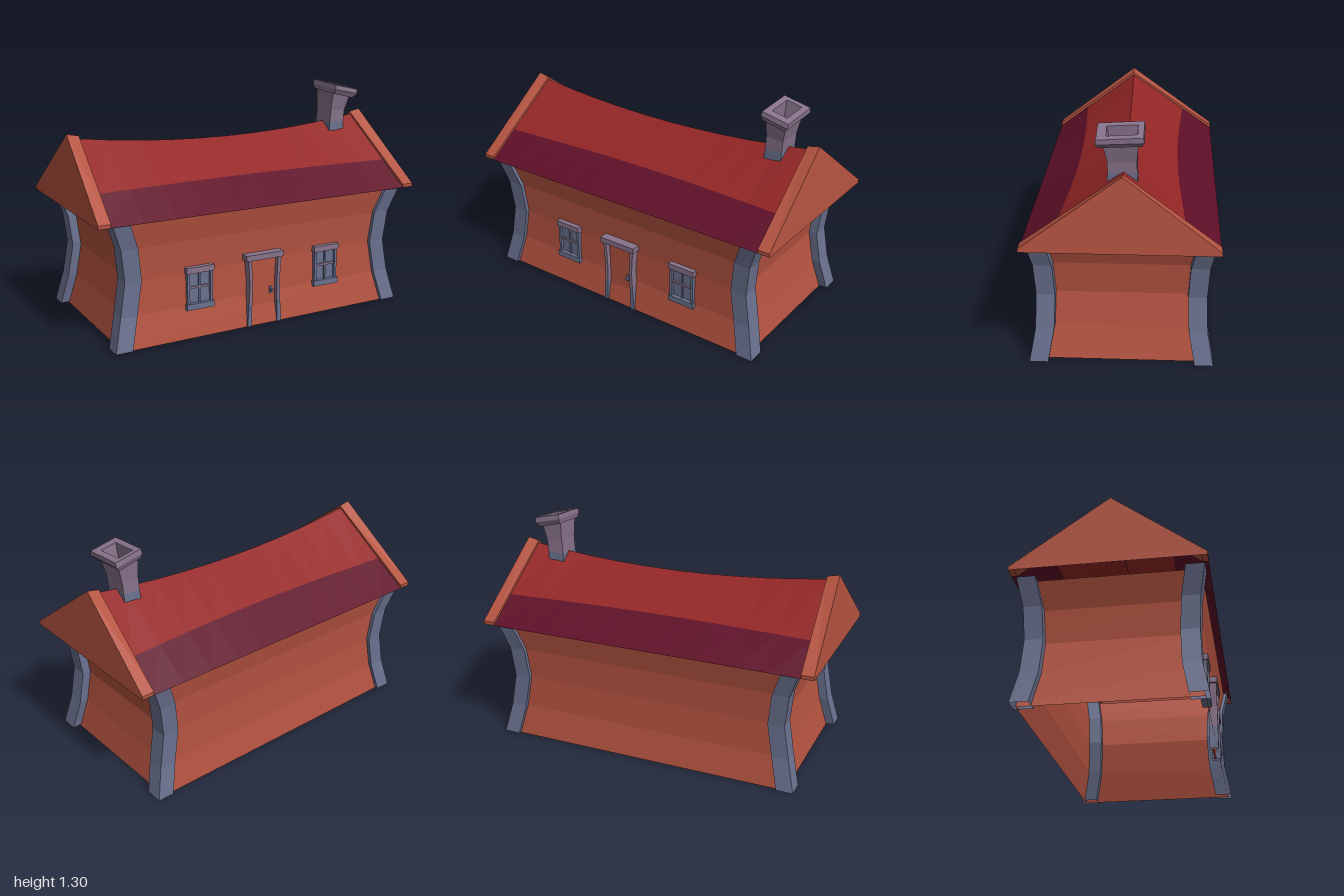
import * as THREE from 'three';

const mat = (name, color) => {
  const m = new THREE.MeshStandardMaterial({ color, side: THREE.DoubleSide });
  m.name = name;
  return m;
};

// Flat-shaded skin through rows of points; rows go up, points go counterclockwise seen from above
function skin(rows, closed = true) {
  const pos = [];
  for (let i = 0; i < rows.length - 1; i++) {
    const n = rows[i].length;
    for (let j = 0; j < (closed ? n : n - 1); j++) {
      const k = (j + 1) % n;
      const a = rows[i][j], b = rows[i][k], c = rows[i + 1][k], d = rows[i + 1][j];
      pos.push(...a, ...b, ...c, ...a, ...c, ...d);
    }
  }
  const g = new THREE.BufferGeometry();
  g.setAttribute('position', new THREE.Float32BufferAttribute(pos, 3));
  g.computeVertexNormals();
  return g;
}

// Rectangular ring, optionally tilted along x and z
const ring = (cx, y, cz, hx, hz, tx = 0, tz = 0) =>
  [[1, 1], [1, -1], [-1, -1], [-1, 1]].map(([sx, sz]) =>
    [cx + sx * hx, y + sx * hx * tx + sz * hz * tz, cz + sz * hz]);

// Waisted outline shared by walls and corner posts: height, half width, half depth
const WAIST = [[0, 0.915, 0.49], [0.18, 0.872, 0.457], [0.37, 0.84, 0.45], [0.55, 0.86, 0.46], [0.7, 0.915, 0.49]];

export function createModel() {
  const wall = mat('brick red', 0xb45340);
  const roofRed = mat('roof red', 0x942626);
  const maroon = mat('eave maroon', 0x5f0f28);
  const slate = mat('slate blue', 0x6a708e);
  const mauve = mat('mauve stone', 0x87728a);

  const house = new THREE.Group();
  house.name = 'cottage';
  const add = (name, geometry, material, parent = house) => {
    const m = new THREE.Mesh(geometry, material);
    m.name = name;
    parent.add(m);
    return m;
  };
  const box = (name, x, y, z, w, h, d, material, parent) =>
    add(name, new THREE.BoxGeometry(w, h, d), material, parent).position.set(x, y, z);

  // Walls, open below
  add('walls', skin(WAIST.map(([y, x, z]) => ring(0, y, 0, x - 0.05, z - 0.022))), wall);

  // Bent corner posts
  for (const sx of [1, -1]) for (const sz of [1, -1]) {
    add('cornerPost', skin(WAIST.map(([y, x, z]) =>
      ring(sx * (x - 0.048), y + 0.005, sz * (z - 0.05), 0.048, 0.05))), slate);
  }

  // Sagging roof: dark eave band and red upper band on each side
  const ridgeZ = x => -0.0125 * x;
  const ridgeY = x => 1.012 + 0.065 * (x / 0.92) ** 2;
  for (const side of [1, -1]) {
    const row = fn => Array.from({ length: 11 }, (_, i) => fn(side * (i / 5 - 1)));
    const eave = row(t => [t * 0.935, 0.7, side * 0.51]);
    const ridge = row(t => [t * 0.92, ridgeY(t * 0.92), ridgeZ(t * 0.92)]);
    const split = eave.map((e, i) => {
      const r = ridge[i], f = (0.838 - e[1]) / (r[1] - e[1]);
      return e.map((v, k) => v + (r[k] - v) * f);
    });
    add('roofEave', skin([eave, split], false), maroon);
    add('roofUpper', skin([split, ridge], false), roofRed);
  }

  // Gables leaning inward: outer face and chevron rim
  const lean = (geometry, s) => {
    const p = geometry.attributes.position;
    for (let i = 0; i < p.count; i++) {
      // shape x becomes depth, extrusion becomes width
      const u = p.getX(i), y = p.getY(i), w = p.getZ(i);
      p.setXYZ(i, s * (1 - w - (y - 0.7) * 0.062), y - w * 0.2 * Math.max(0, (y - 0.72) / 0.385), -s * u);
    }
    geometry.computeVertexNormals();
    return geometry;
  };
  for (const s of [1, -1]) {
    const apex = -s * ridgeZ(s);
    const face = [[-0.51, 0.7], [0.51, 0.7], [0.51, 0.72], [apex, 1.105], [-0.51, 0.72]];
    const rim = [[-0.51, 0.7], [-0.48, 0.7], [apex, 1.065], [0.48, 0.7], [0.51, 0.7],
      [0.51, 0.72], [apex, 1.105], [-0.51, 0.72]];
    const shape = pts => new THREE.Shape(pts.map(p => new THREE.Vector2(...p)));
    add('gableFace', lean(new THREE.ShapeGeometry(shape(face)).toNonIndexed(), s), wall);
    add('gableRim', lean(new THREE.ExtrudeGeometry(shape(rim), { depth: 0.07, bevelEnabled: false }), s), wall);
  }

  // Door with flared legs, lintel and handle
  const door = new THREE.Group();
  door.name = 'door';
  house.add(door);
  for (const s of [1, -1]) {
    const legRing = (y, x, h) => ring(s * x - 0.003, y, 0.45, h, 0.025);
    add('doorLegLower', skin([legRing(0, 0.098, 0.013), legRing(0.13, 0.092, 0.01)]), slate, door);
    add('doorLegUpper', skin([legRing(0.13, 0.092, 0.01), legRing(0.25, 0.088, 0.009), legRing(0.39, 0.097, 0.01)]), mauve, door);
  }
  box('doorPanel', -0.003, 0.195, 0.443, 0.18, 0.39, 0.009, wall, door);
  box('doorLintel', -0.005, 0.405, 0.45, 0.238, 0.033, 0.064, mauve, door);
  box('doorHandlePlate', 0.05, 0.19, 0.449, 0.02, 0.04, 0.009, slate, door);
  box('doorHandle', 0.05, 0.19, 0.46, 0.014, 0.016, 0.02, slate, door);

  // Windows
  for (const x of [-0.4, 0.425]) {
    const win = new THREE.Group();
    win.name = 'window';
    win.position.x = x;
    house.add(win);
    box('windowPane', 0, 0.28, 0.432, 0.13, 0.18, 0.008, slate, win);
    box('windowHead', 0, 0.384, 0.434, 0.168, 0.034, 0.05, mauve, win);
    box('windowSill', 0, 0.176, 0.434, 0.168, 0.034, 0.05, slate, win);
    for (const s of [1, -1]) box('windowJamb', s * 0.07, 0.28, 0.434, 0.015, 0.18, 0.036, slate, win);
    box('windowBar', 0, 0.28, 0.434, 0.01, 0.18, 0.022, slate, win);
    box('windowCrossbar', 0, 0.283, 0.434, 0.14, 0.012, 0.024, mauve, win);
  }

  // Leaning hollow chimney
  const chimney = new THREE.Group();
  chimney.name = 'chimney';
  house.add(chimney);
  const waist = ring(0.747, 1.05, -0.004, 0.05, 0.075, 0.05);
  add('chimneyBase', skin([ring(0.743, 0.985, -0.004, 0.052, 0.078, 0.08), waist]), slate, chimney);
  add('chimneyStack', skin([waist, ring(0.752, 1.12, -0.003, 0.05, 0.075, -0.08),
    ring(0.763, 1.222, 0.003, 0.06, 0.088, -0.24, -0.05)]), mauve, chimney);
  add('chimneyCap', skin([
    ring(0.763, 1.222, 0.003, 0.055, 0.08, -0.24, -0.05),
    ring(0.763, 1.218, 0.005, 0.066, 0.107, -0.24, -0.05),
    ring(0.774, 1.246, 0.006, 0.081, 0.122, -0.22, -0.05),
    ring(0.777, 1.273, 0.006, 0.079, 0.118, -0.22, -0.06),
    ring(0.775, 1.273, -0.003, 0.045, 0.078, -0.22, -0.06),
    ring(0.758, 1.13, -0.003, 0.035, 0.06)]), mauve, chimney);
  box('chimneyFloor', 0.758, 1.128, -0.003, 0.07, 0.006, 0.12, slate, chimney);

  return house;
}
